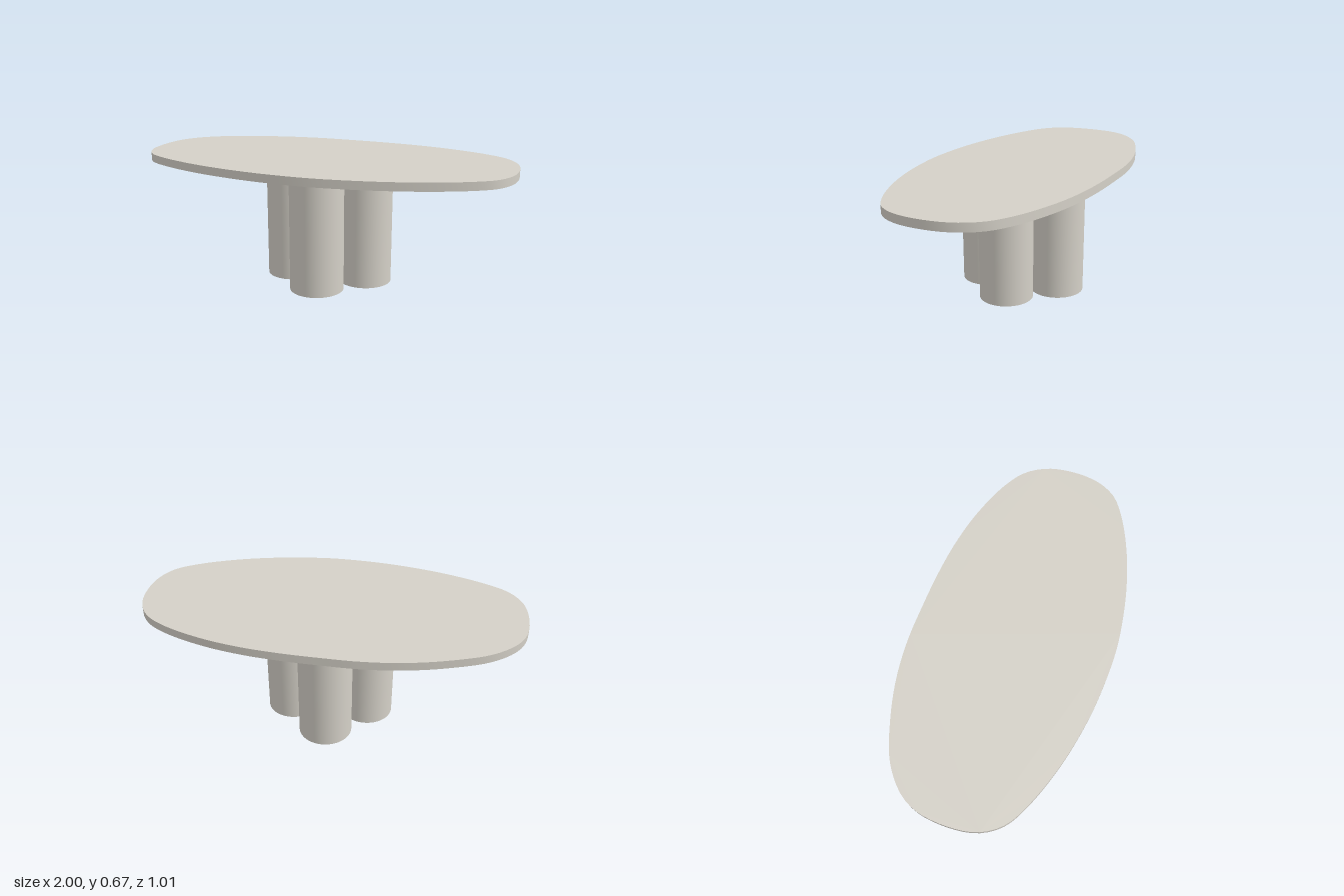
import * as THREE from 'three';
import { toCreasedNormals } from 'three/addons/utils/BufferGeometryUtils.js';

const LEG_HEIGHT = 0.627, TOP_HEIGHT = 0.67;
const LEG_RADIUS = 0.142, LEG_OFFSET = 0.206, LEG_CENTRE_X = 0.0125;

// Outline of the tabletop as [x, z], going round from the back
const OUTLINE = [
  [-0.2, -0.507], [0, -0.5], [0.2, -0.485], [0.4, -0.456], [0.6, -0.404], [0.8, -0.32],
  [0.915, -0.237], [0.98, -0.125], [1, 0.015], [0.98, 0.16], [0.92, 0.264], [0.8, 0.342],
  [0.6, 0.42], [0.4, 0.469], [0.2, 0.496], [0.04, 0.503], [-0.2, 0.484], [-0.4, 0.447],
  [-0.6, 0.39], [-0.8, 0.306], [-0.915, 0.232], [-0.98, 0.13], [-1, 0], [-0.98, -0.17],
  [-0.925, -0.272], [-0.8, -0.373], [-0.6, -0.447], [-0.4, -0.491],
];

export function createModel() {
  const table = new THREE.Group();
  table.name = 'table';
  const stone = new THREE.MeshStandardMaterial({ color: 0xd4d0c7 });
  stone.name = 'warm grey stone';

  // Pebble-shaped top with a smooth rim
  const curve = new THREE.CatmullRomCurve3(
    OUTLINE.map(([x, z]) => new THREE.Vector3(x, -z, 0)), true, 'centripetal');
  const points = curve.getSpacedPoints(128).slice(0, -1).map(p => new THREE.Vector2(p.x, p.y));
  const slab = new THREE.ExtrudeGeometry(new THREE.Shape(points), {
    depth: TOP_HEIGHT - LEG_HEIGHT, bevelEnabled: false,
  });
  slab.rotateX(-Math.PI / 2);
  const top = new THREE.Mesh(toCreasedNormals(slab, 0.6), stone);
  top.name = 'tabletop';
  top.position.y = LEG_HEIGHT;
  table.add(top);

  // Four clustered columns in a diamond
  const legGeometry = new THREE.CylinderGeometry(LEG_RADIUS, LEG_RADIUS, LEG_HEIGHT, 64);
  const sides = [['left', 1, 0], ['right', -1, 0], ['front', 0, 1], ['back', 0, -1]];
  for (const [side, dx, dz] of sides) {
    const leg = new THREE.Mesh(legGeometry, stone);
    leg.name = `${side}Column`;
    leg.position.set(LEG_CENTRE_X + dx * LEG_OFFSET, LEG_HEIGHT / 2, dz * LEG_OFFSET);
    table.add(leg);
  }
  return table;
}
